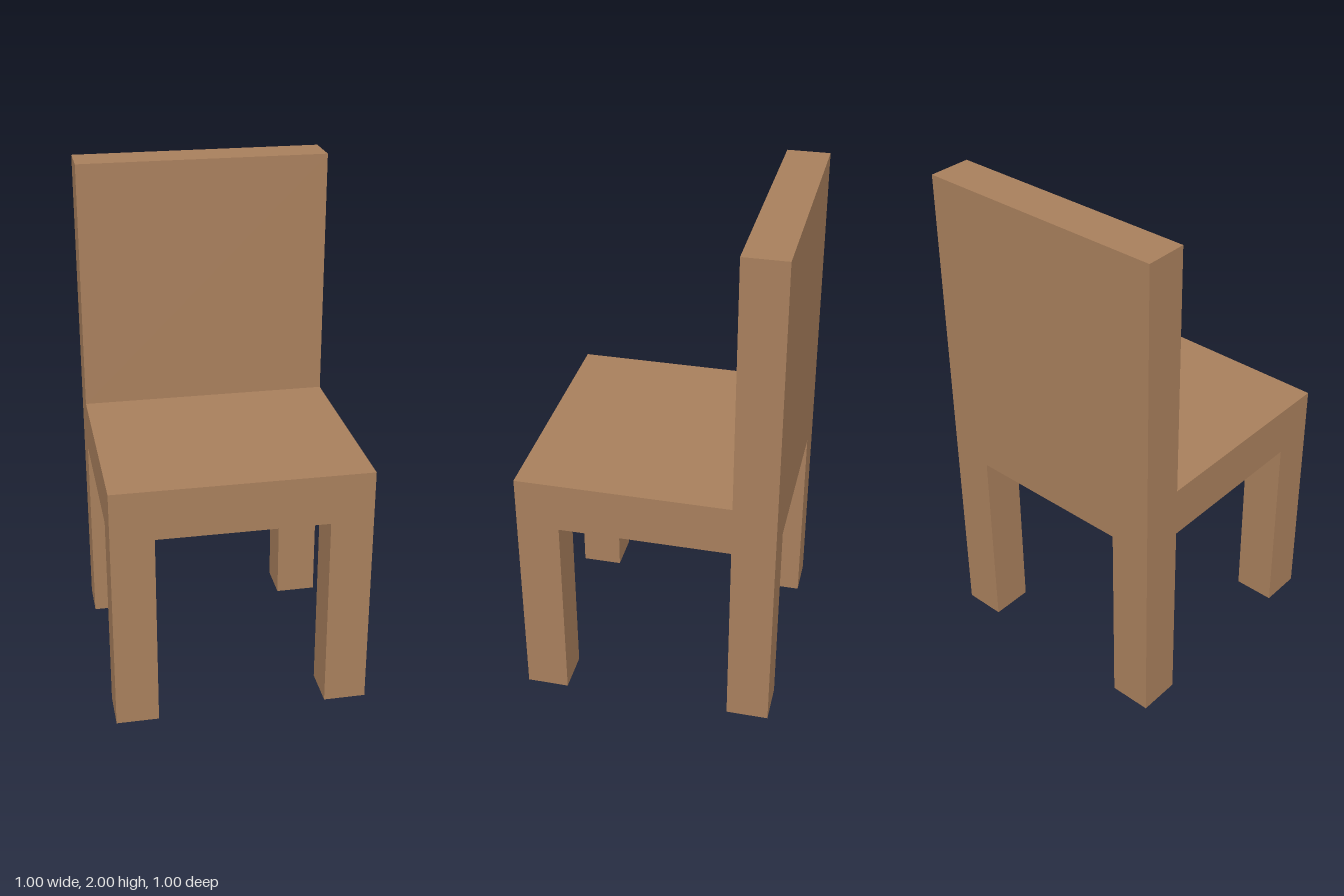
import * as THREE from 'three';

export function createModel() {
  const chair = new THREE.Group();
  chair.name = 'chair';

  const wood = new THREE.MeshStandardMaterial({ color: 0xa87f5c });
  wood.name = 'wood';

  const width = 1;
  const thick = 1 / 6; // leg and backrest thickness
  const seatBottom = 0.8;
  const seatTop = 1;
  const height = 2;

  // Box standing on y = base
  function addBox(name, w, h, d, x, base, z) {
    const mesh = new THREE.Mesh(new THREE.BoxGeometry(w, h, d), wood);
    mesh.name = name;
    mesh.position.set(x, base + h / 2, z);
    chair.add(mesh);
  }

  // Seat slab
  addBox('seat', width, seatTop - seatBottom, width, 0, seatBottom, 0);

  // Backrest, flush with the rear edge of the seat
  const inset = (width - thick) / 2;
  addBox('backrest', width, height - seatTop, thick, 0, seatTop, -inset);

  // Four square legs at the corners
  for (const [sideName, sx] of [['Left', 1], ['Right', -1]]) {
    for (const [endName, sz] of [['front', 1], ['back', -1]]) {
      addBox(`${endName}${sideName}Leg`, thick, seatBottom, thick, sx * inset, 0, sz * inset);
    }
  }

  return chair;
}
